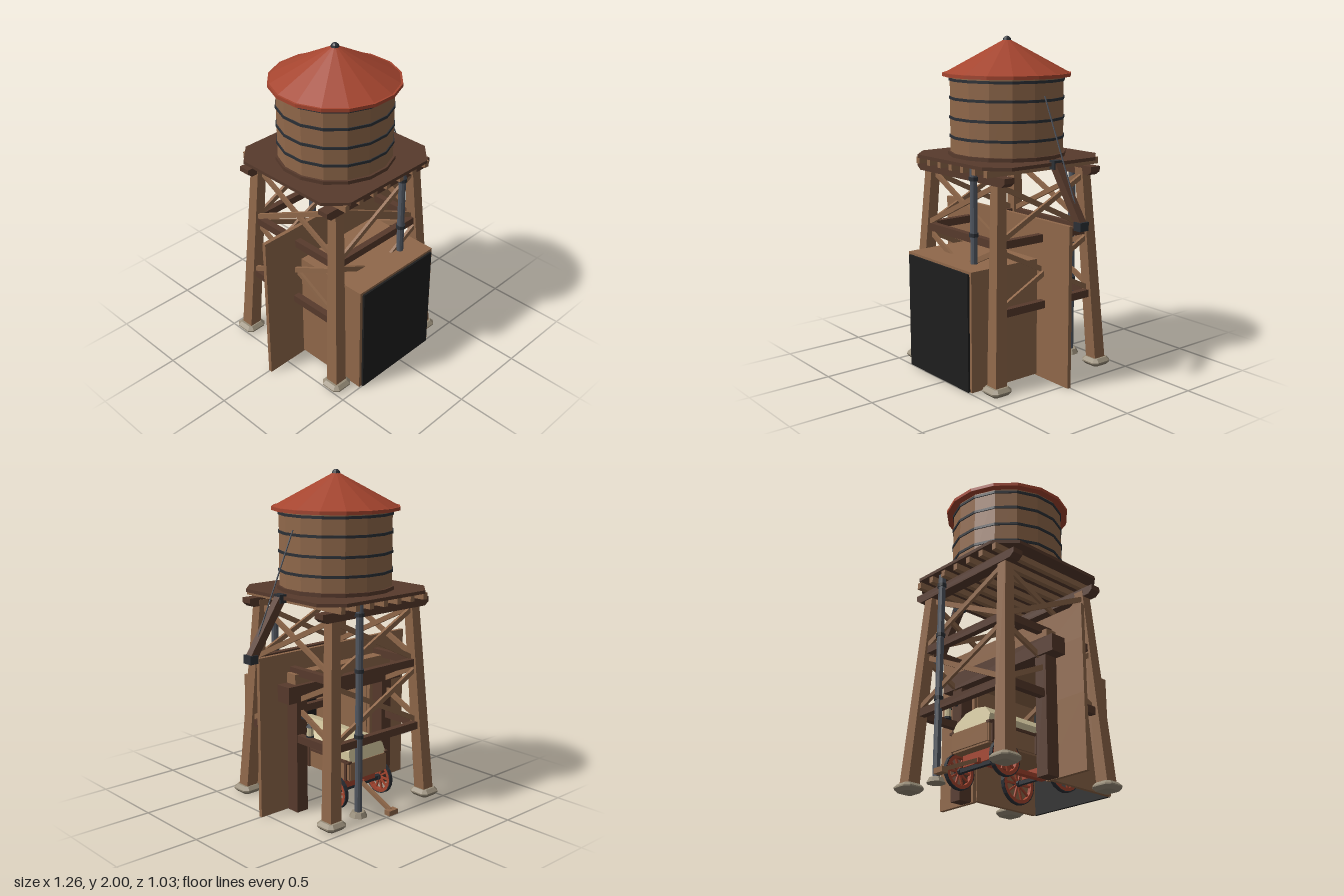
import * as THREE from 'three';

const mat = (name, color) => Object.assign(new THREE.MeshStandardMaterial({ color, flatShading: true }), { name });
const M = {
  wood: mat('wood', 0x90684a), dark: mat('dark wood', 0x573a2c), red: mat('red paint', 0xa5452f),
  iron: mat('iron', 0x2c3036), pipe: mat('pipe steel', 0x525862), stone: mat('stone', 0x978c78),
  canvas: mat('canvas', 0xc9bd96), black: mat('doorway black', 0x1e1e1e),
};
const V = (x, y, z) => new THREE.Vector3(x, y, z);
const UP = V(0, 1, 0);

function add(parent, name, geo, material, x = 0, y = 0, z = 0) {
  const m = new THREE.Mesh(geo, material);
  m.name = name;
  m.position.set(x, y, z);
  parent.add(m);
  return m;
}
// box given by its limits
function box(parent, name, material, x0, x1, y0, y1, z0, z1) {
  return add(parent, name, new THREE.BoxGeometry(x1 - x0, y1 - y0, z1 - z0), material,
    (x0 + x1) / 2, (y0 + y1) / 2, (z0 + z1) / 2);
}
// rectangular bar between two points of the parent's space
function bar(parent, name, material, a, b, w, d = w) {
  const m = add(parent, name, new THREE.BoxGeometry(w, d, a.distanceTo(b)), material);
  m.position.copy(a).add(b).multiplyScalar(0.5);
  m.quaternion.setFromRotationMatrix(new THREE.Matrix4().lookAt(b, a, UP));
  return m;
}
// upright drum whose flats face the axes
function drum(parent, name, material, rTop, rBottom, y0, y1, sides = 16, x = 0, z = 0) {
  const g = new THREE.CylinderGeometry(rTop, rBottom, y1 - y0, sides).rotateY(Math.PI / sides);
  return add(parent, name, g, material, x, (y0 + y1) / 2, z);
}
const outline = (pts) => new THREE.Shape(pts.map(([x, y]) => new THREE.Vector2(x, y)));
// square of half-width h with cut corners starting at c
const cutSquare = (h, c) => outline([[h, -c], [h, c], [c, h], [-c, h], [-h, c], [-h, -c], [-c, -h], [c, -h]]);
const spread = (y) => 0.39 - 0.058 * y; // leg distance from the axis

function buildTank(g) {
  drum(g, 'tankBase', M.dark, 0.352, 0.352, 1.3, 1.325);
  drum(g, 'tankStaves', M.wood, 0.338, 0.338, 1.32, 1.78);
  for (const y of [1.417, 1.528, 1.643, 1.75]) drum(g, 'tankHoop', M.iron, 0.344, 0.344, y - 0.008, y + 0.008);
  drum(g, 'roofEave', M.red, 0.382, 0.382, 1.768, 1.788);
  drum(g, 'roof', M.red, 0.015, 0.37, 1.788, 1.98);
  drum(g, 'finialCollar', M.iron, 0.02, 0.028, 1.96, 1.978, 8);
  add(g, 'finial', new THREE.SphereGeometry(0.025, 8, 6), M.iron, 0, 1.975, 0);
}

function buildPlatform(g) {
  const deck = new THREE.ExtrudeGeometry(cutSquare(0.432, 0.315), { depth: 0.02, bevelEnabled: false }).rotateX(-Math.PI / 2);
  add(g, 'deck', deck, M.dark, 0, 1.283, 0);
  for (let i = -3; i <= 3; i++) box(g, 'joist', M.wood, i * 0.11 - 0.016, i * 0.11 + 0.016, 1.245, 1.285, -0.42, 0.42);
  // main beams with chamfered ends
  const beam = outline([[-0.425, 1.245], [-0.425, 1.215], [-0.395, 1.192], [0.395, 1.192], [0.425, 1.215], [0.425, 1.245]]);
  for (const z of [-0.325, 0.325]) {
    add(g, 'mainBeam', new THREE.ExtrudeGeometry(beam, { depth: 0.07, bevelEnabled: false }), M.dark, 0, 0, z - 0.035);
  }
}

function buildTower(g) {
  const footing = new THREE.ExtrudeGeometry(cutSquare(0.051, 0.037),
    { depth: 0.008, bevelThickness: 0.02, bevelSize: 0.02, bevelSegments: 1 }).rotateX(-Math.PI / 2);
  for (const sx of [-1, 1]) for (const sz of [-1, 1]) {
    // tapered leg, leaned by shearing
    const leg = new THREE.CylinderGeometry(0.045, 0.057, 1.2, 4).rotateY(Math.PI / 4).translate(0, 0.63, 0);
    const p = leg.attributes.position;
    for (let i = 0; i < p.count; i++) {
      const s = spread(p.getY(i));
      p.setXYZ(i, p.getX(i) + sx * s, p.getY(i), p.getZ(i) + sz * s);
    }
    leg.computeVertexNormals();
    add(g, 'leg', leg, M.wood);
    add(g, 'footing', footing, M.stone, sx * 0.39, 0.02, sz * 0.39);
  }
  // girts and cross braces on all four faces
  for (let k = 0; k < 4; k++) {
    const f = new THREE.Group();
    f.name = 'towerFace';
    f.rotation.y = k * Math.PI / 2;
    g.add(f);
    for (const y of [0.853, 0.46]) {
      const s = spread(y);
      box(f, 'girt', M.dark, -s, s, y - 0.023, y + 0.023, s - 0.02, s + 0.02);
    }
    for (const [y0, y1] of [[0.87, 1.19], [0.48, 0.82]]) for (const m of [-1, 1]) {
      const a = spread(y0), b = spread(y1), o = m * 0.01;
      bar(f, 'crossBrace', M.wood, V(-m * a, y0, a + o), V(m * b, y1, b + o), 0.018, 0.03);
    }
  }
}

function buildPipe(g, z, y0) {
  drum(g, 'pipe', M.pipe, 0.022, 0.022, y0, 1.284, 10, 0.166, z);
  for (const y of [1.215, 0.89, 0.5]) if (y > y0) drum(g, 'pipeCollar', M.iron, 0.028, 0.028, y - 0.011, y + 0.011, 10, 0.166, z);
}

function buildSpout(g) {
  const a = V(0.435, 1.29, 0), b = V(0.65, 0.97, 0);
  bar(g, 'spout', M.dark, a, b, 0.047, 0.05);
  box(g, 'spoutHinge', M.iron, 0.412, 0.457, 1.265, 1.315, -0.03, 0.03);
  box(g, 'spoutMouth', M.iron, 0.622, 0.676, 0.945, 0.995, -0.032, 0.032);
  bar(g, 'spoutCable', M.pipe, V(0.335, 1.67, 0), b, 0.006);
}

function buildPortal(g) {
  // plank wall with a central opening
  for (const [y0, y1] of [[0, 0.434], [0.434, 0.755], [0.755, 0.96]]) {
    box(g, 'wallPlank', M.wood, -0.635, -0.34, y0, y1, -0.006, 0.018);
    box(g, 'wallPlank', M.wood, 0.245, 0.54, y0, y1, -0.006, 0.018);
  }
  for (const [y0, y1] of [[0.7, 0.755], [0.755, 0.96]]) box(g, 'wallPlankCentre', M.wood, -0.34, 0.245, y0, y1, -0.006, 0.018);
  // tunnel shed
  box(g, 'shedWall', M.wood, -0.36, -0.335, 0.01, 0.72, 0.018, 0.5);
  box(g, 'shedWall', M.wood, 0.24, 0.265, 0.01, 0.72, 0.018, 0.5);
  box(g, 'shedRoof', M.wood, -0.335, 0.24, 0.695, 0.72, 0.018, 0.5);
  box(g, 'shedDoorway', M.black, -0.34, 0.247, 0.01, 0.705, 0.497, 0.513);
  // timber frame
  for (const x of [-0.4, 0.3]) box(g, 'portalPost', M.dark, x - 0.04, x + 0.04, 0, 0.69, -0.095, -0.01);
  box(g, 'portalLintel', M.dark, -0.507, 0.41, 0.685, 0.785, -0.11, -0.008);
  box(g, 'portalCap', M.wood, -0.44, 0.34, 0.785, 0.845, -0.083, -0.008);
  // hanging lantern
  const l = new THREE.Group();
  l.name = 'lantern';
  l.position.set(0.3, 0, -0.165);
  g.add(l);
  bar(l, 'lanternArm', M.iron, V(0, 0.585, 0.08), V(0, 0.585, -0.01), 0.014);
  bar(l, 'lanternHook', M.iron, V(0, 0.585, 0), V(0, 0.55, 0), 0.007);
  drum(l, 'lanternCap', M.iron, 0.008, 0.026, 0.542, 0.567, 8);
  drum(l, 'lanternGlass', M.canvas, 0.019, 0.021, 0.49, 0.545, 8);
  drum(l, 'lanternBase', M.iron, 0.024, 0.024, 0.478, 0.492, 8);
}

function wheel(g, x, z, r) {
  const w = new THREE.Group();
  w.name = 'wheel';
  w.position.set(x, r + 0.01, z);
  w.rotation.y = Math.PI / 2;
  g.add(w);
  // flat ring sections turned about the axle
  const ring = (inner, outer, t) => new THREE.LatheGeometry(
    [[inner, -t], [outer, -t], [outer, t], [inner, t], [inner, -t]].map(([a, b]) => new THREE.Vector2(a, b)), 20).rotateX(Math.PI / 2);
  add(w, 'tyre', ring(r - 0.007, r, 0.012), M.iron);
  add(w, 'rim', ring(r - 0.026, r - 0.006, 0.013), M.red);
  for (let i = 0; i < 10; i++) {
    const a = i * Math.PI / 5;
    bar(w, 'spoke', M.red, V(0, 0, 0), V(Math.cos(a) * (r - 0.02), Math.sin(a) * (r - 0.02), 0), 0.011);
  }
  add(w, 'hub', new THREE.CylinderGeometry(0.02, 0.02, 0.045, 8).rotateX(Math.PI / 2), M.iron);
}

function buildWagon(g) {
  for (const [z, r] of [[-0.207, 0.104], [0.25, 0.125]]) {
    for (const s of [-1, 1]) wheel(g, s * 0.185, z, r);
    bar(g, 'axle', M.iron, V(-0.185, r + 0.01, z), V(0.185, r + 0.01, z), 0.024);
    box(g, 'bolster', M.red, -0.13, 0.13, r + 0.02, 0.2, z - 0.02, z + 0.02);
  }
  box(g, 'wagonReach', M.red, -0.02, 0.02, 0.12, 0.145, -0.25, 0.28);
  box(g, 'wagonFloor', M.wood, -0.145, 0.145, 0.19, 0.21, -0.29, 0.36);
  for (const s of [-1, 1]) {
    box(g, 'wagonSide', M.wood, s * 0.145 - 0.01, s * 0.145 + 0.01, 0.2, 0.305, -0.295, 0.36);
    box(g, 'wagonRail', M.dark, s * 0.15 - 0.014, s * 0.15 + 0.014, 0.3, 0.315, -0.3, 0.365);
    for (const z of [-0.27, -0.12, 0.06, 0.2, 0.34]) {
      box(g, 'wagonStake', M.dark, s * 0.159 - 0.006, s * 0.159 + 0.006, 0.195, 0.32, z - 0.008, z + 0.008);
    }
  }
  for (const z of [-0.29, 0.355]) box(g, 'wagonEnd', M.wood, -0.145, 0.145, 0.2, 0.305, z - 0.01, z + 0.01);
  // faceted canvas cover, narrowing upwards at its ends
  const section = outline([[-0.15, 0.305], [0.15, 0.305], [0.14, 0.365], [0.08, 0.42], [0, 0.435], [-0.08, 0.42], [-0.14, 0.365]]);
  const cover = new THREE.ExtrudeGeometry(section, { depth: 0.65, bevelEnabled: false }).translate(0, 0, -0.295);
  const p = cover.attributes.position;
  for (let i = 0; i < p.count; i++) {
    const lean = (p.getY(i) - 0.305) * 0.35;
    p.setZ(i, p.getZ(i) + (p.getZ(i) < 0 ? lean : -lean));
  }
  cover.computeVertexNormals();
  add(g, 'canvasCover', cover, M.canvas);
  // pulling pole
  bar(g, 'pole', M.wood, V(0, 0.135, -0.24), V(0, 0.03, -0.485), 0.022);
  box(g, 'poleHandle', M.wood, -0.035, 0.035, 0.008, 0.038, -0.514, -0.472);
}

export function createModel() {
  const model = new THREE.Group();
  model.name = 'waterTower';
  const part = (name, x, z, build) => {
    const g = new THREE.Group();
    g.name = name;
    g.position.set(x, 0, z);
    build(g);
    model.add(g);
  };
  part('tank', -0.046, -0.008, buildTank);
  part('platform', -0.046, -0.008, buildPlatform);
  part('tower', -0.046, -0.008, buildTower);
  part('pipes', -0.046, -0.008, (g) => {
    buildPipe(g, 0.378, 0.715);
    buildPipe(g, -0.378, 0.03);
    drum(g, 'pipeFooting', M.stone, 0.04, 0.055, 0.01, 0.04, 8, 0.166, -0.378);
  });
  part('spoutAssembly', -0.046, -0.012, buildSpout);
  part('portal', 0, 0, buildPortal);
  part('wagon', -0.046, 0, buildWagon);
  return model;
}
